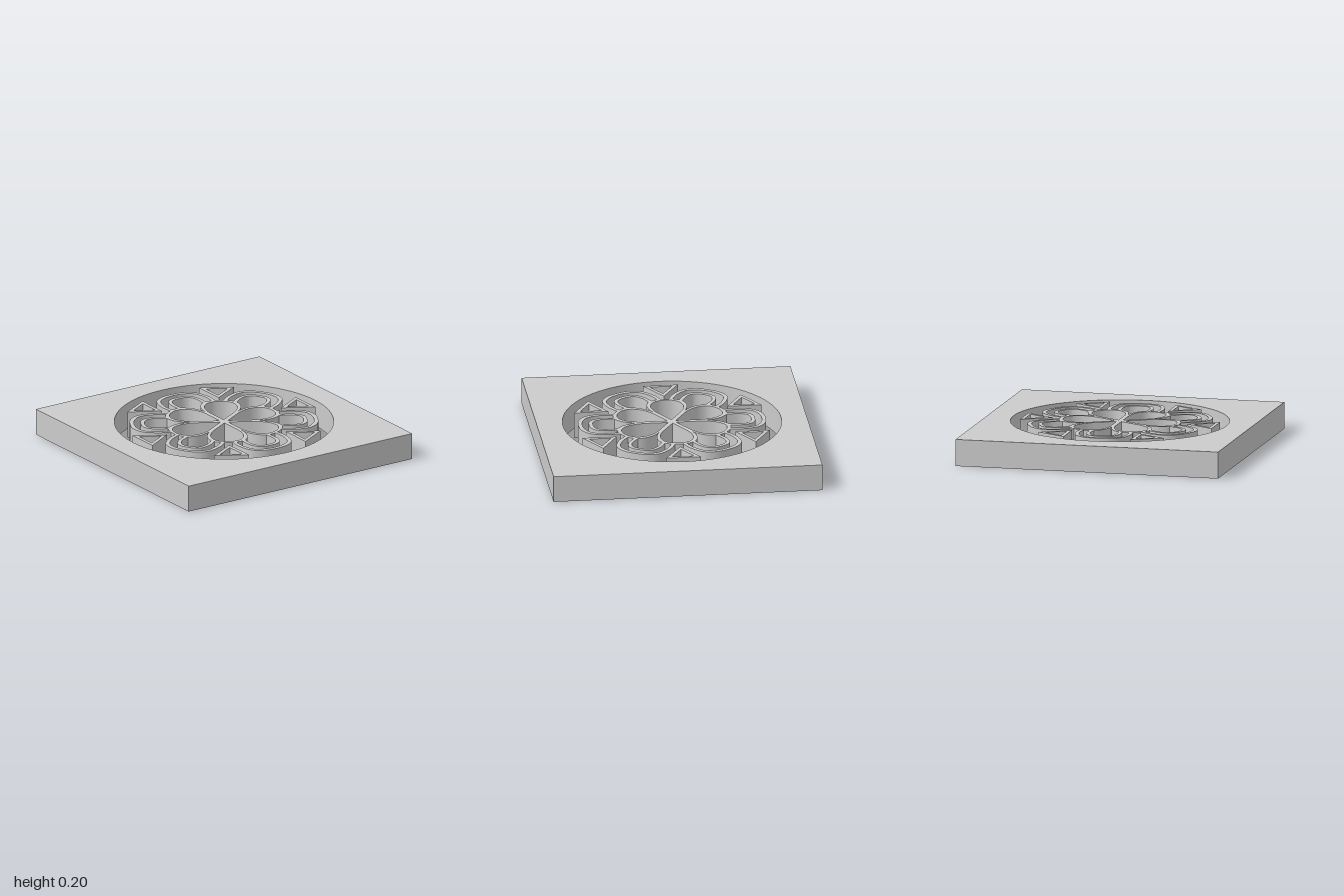
import * as THREE from 'three';
import { toCreasedNormals } from 'three/addons/utils/BufferGeometryUtils.js';

const HEIGHT = 0.2;
const material = new THREE.MeshStandardMaterial({ color: 0xcccccc });

const vec = ([x, y]) => new THREE.Vector2(x, y);

// Half profile ending on the axis -> smooth curve across the axis (mirrored in y)
function mirroredCurve(half) {
  const back = half.slice(0, -1).reverse().map(([x, y]) => [x, -y]);
  return new THREE.SplineCurve([...half, ...back].map(vec)).getPoints(40);
}

// Stand a flat outline up as a wall of full height
function wall(name, outline, hole) {
  const shape = new THREE.Shape(outline);
  if (hole) shape.holes.push(new THREE.Path(hole));
  const geometry = new THREE.ExtrudeGeometry(shape, { depth: HEIGHT, bevelEnabled: false });
  geometry.rotateX(-Math.PI / 2);
  const mesh = new THREE.Mesh(toCreasedNormals(geometry, 0.5), material);
  mesh.name = name;
  return mesh;
}

// Open band between two mirrored profiles
const arch = (name, outer, inner) =>
  wall(name, [...mirroredCurve(outer), ...mirroredCurve(inner).reverse()]);

const circle = (r) => new THREE.Path().absarc(0, 0, r, 0, Math.PI * 2).getPoints(96).slice(0, -1);

// Six copies around the centre
function around(name, mesh, offset) {
  const group = new THREE.Group();
  group.name = name;
  for (let i = 0; i < 6; i++) {
    const copy = mesh.clone();
    copy.rotation.y = offset + (i * Math.PI) / 3;
    group.add(copy);
  }
  return group;
}

export function createModel() {
  const model = new THREE.Group();
  model.name = 'openworkTile';

  // Square plate and the round rim set flush in it
  const square = [[-1, -1], [1, -1], [1, 1], [-1, 1]].map(vec);
  model.add(wall('squarePlate', square, circle(0.86)));
  model.add(wall('roundRim', circle(0.86), circle(0.81)));

  // Teardrop petals meeting at the centre
  const petalOuter = [vec([0, 0]), ...mirroredCurve([
    [0.19, 0.11], [0.25, 0.138], [0.33, 0.15], [0.41, 0.125], [0.445, 0.07], [0.457, 0]]).reverse()];
  const petalInner = [vec([0.035, 0]), ...mirroredCurve([
    [0.19, 0.09], [0.25, 0.113], [0.32, 0.121], [0.385, 0.1], [0.42, 0.055], [0.43, 0]]).reverse()];
  model.add(around('petals', wall('petal', petalOuter, petalInner), 0));

  // Two nested arches between neighbouring petals
  const smallArch = arch('innerArch',
    [[0.4, 0.122], [0.5, 0.128], [0.575, 0.105], [0.61, 0.06], [0.617, 0]],
    [[0.4, 0.093], [0.5, 0.1], [0.56, 0.08], [0.583, 0.045], [0.588, 0]]);
  const largeArch = arch('outerArch',
    [[0.4, 0.2], [0.5, 0.21], [0.62, 0.18], [0.683, 0.1], [0.697, 0]],
    [[0.4, 0.17], [0.5, 0.18], [0.605, 0.153], [0.653, 0.085], [0.667, 0]]);
  model.add(around('innerArches', smallArch, Math.PI / 6));
  model.add(around('outerArches', largeArch, Math.PI / 6));

  // Hollow triangles pointing at the centre
  const triangle = wall('triangle',
    [[0.51, 0], [0.73, -0.13], [0.73, 0.13]].map(vec),
    [[0.564, 0], [0.703, -0.082], [0.703, 0.082]].map(vec));
  model.add(around('triangles', triangle, 0));

  return model;
}
